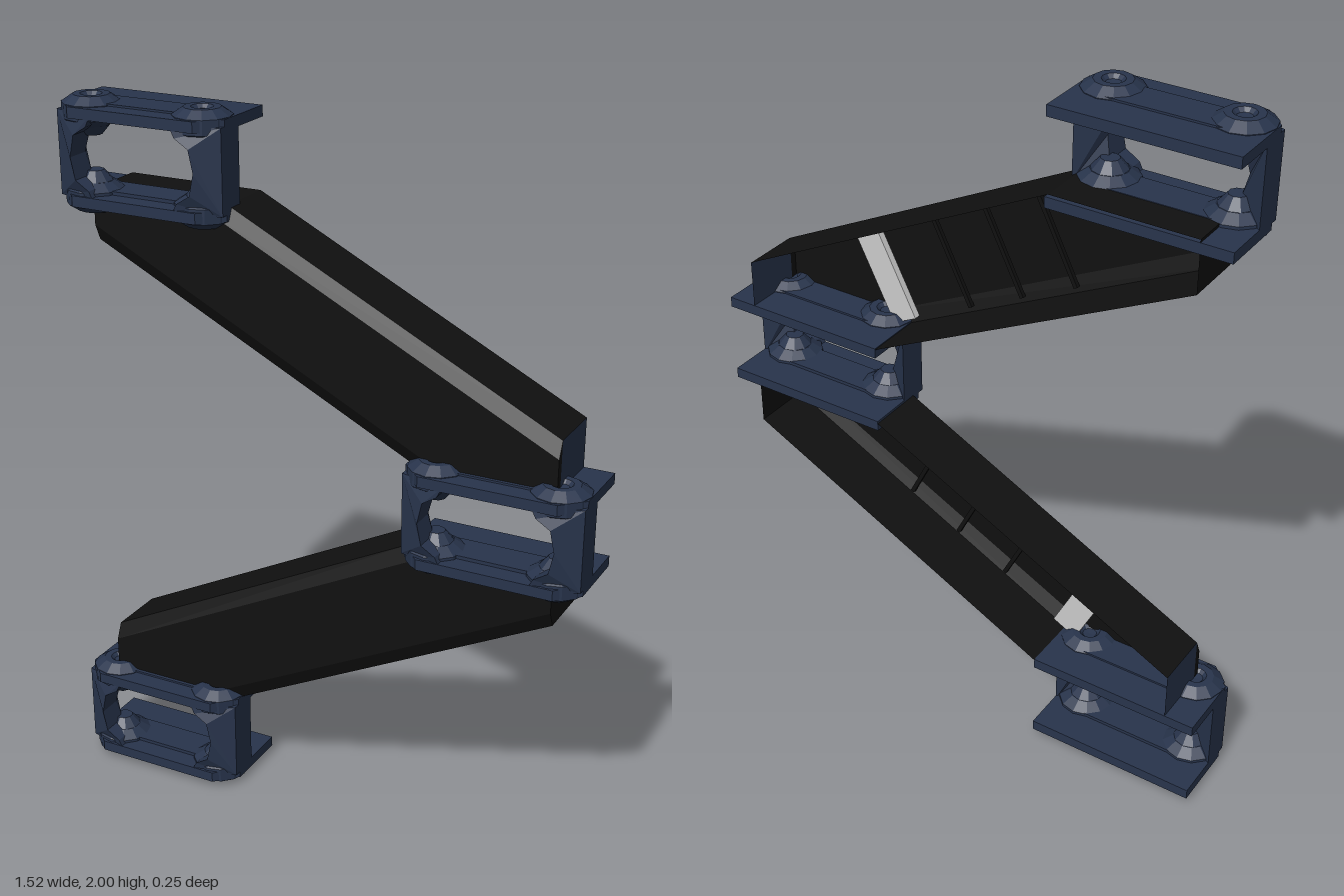
import * as THREE from 'three';

const blue = new THREE.MeshStandardMaterial({ color: 0x28344c, flatShading: true });
const blueThin = new THREE.MeshStandardMaterial({ color: 0x28344c, flatShading: true, side: THREE.DoubleSide });
const black = new THREE.MeshStandardMaterial({ color: 0x101010, flatShading: true, side: THREE.DoubleSide });
const grey = new THREE.MeshStandardMaterial({ color: 0xcccccc, flatShading: true });

function add(parent, name, geometry, material, x = 0, y = 0, z = 0) {
  const mesh = new THREE.Mesh(geometry, material);
  mesh.name = name;
  mesh.position.set(x, y, z);
  parent.add(mesh);
  return mesh;
}

const toShape = (pts) => new THREE.Shape(pts.map(([x, y]) => new THREE.Vector2(x, y)));

// Horizontal slab from an outline in (x, z), centred on y = 0
function slab(pts, height) {
  const g = new THREE.ExtrudeGeometry(toShape(pts.map(([x, z]) => [x, -z])), { depth: height, bevelEnabled: false });
  return g.rotateX(-Math.PI / 2).translate(0, -height / 2, 0);
}

// Chamfered round hub with a dimple on top and bottom
function hubGeometry() {
  const half = [[0.0, 0.028], [0.02, 0.03], [0.03, 0.04], [0.05, 0.04], [0.08, 0.02]];
  const profile = [...half.map(([r, y]) => [r, -y]), ...half.slice().reverse()];
  return new THREE.LatheGeometry(profile.map(([r, y]) => new THREE.Vector2(r, y)), 12);
}

// Post that flares toward the plates, on the inner side and on the back
function postGeometry(side) {
  const pts = [[0.25, -0.115], [0.25, 0.115], [0.12, 0.115], [0.135, 0.085], [0.175, 0.06],
    [0.188, 0], [0.175, -0.06], [0.135, -0.085], [0.12, -0.115]];
  const g = new THREE.ExtrudeGeometry(toShape(pts.map(([x, y]) => [x * side, y])), { depth: 0.07, bevelEnabled: false });
  const p = g.attributes.position;
  for (let i = 0; i < p.count; i++) {
    const back = p.getZ(i) < 0.01;
    const flare = Math.max(0, Math.abs(p.getY(i)) - 0.05);
    const outer = Math.abs(p.getX(i)) > 0.24;
    p.setZ(i, back ? 0.055 - flare * 0.9 : outer ? 0.085 : 0.125);
  }
  g.computeVertexNormals();
  return g;
}

// Hinge bracket: two plates with hubs, joined by two posts
function bracket(name, x, y) {
  const group = new THREE.Group();
  group.name = name;
  group.position.set(x, y, 0);
  const outline = [[-0.25, -0.13], [0.25, -0.13], [0.25, 0.065], [0.19, 0.125], [-0.19, 0.125], [-0.25, 0.065]];
  for (const s of [1, -1]) {
    add(group, 'plate', slab(outline, 0.03), blue, 0, s * 0.118, 0);
    add(group, 'plateRidge', new THREE.BoxGeometry(0.34, 0.045, 0.1), blue, 0, s * 0.116, 0.02);
    for (const side of [1, -1]) {
      add(group, 'hub', hubGeometry(), blue, side * 0.17, s * 0.115, 0.04);
      // tapered collar on the inner face of the plate
      const collar = new THREE.CylinderGeometry(s > 0 ? 0.055 : 0.025, s > 0 ? 0.025 : 0.055, 0.035, 10);
      add(group, 'hubCollar', collar, blue, side * 0.17, s * 0.065, 0.04);
    }
  }
  for (const side of [1, -1]) add(group, 'post', postGeometry(side), blue);
  return group;
}

// Quads between two rings of points, for the chosen edges
function ringBand(a, b, edges) {
  const pos = [];
  for (const i of edges) {
    const j = (i + 1) % a.length;
    pos.push(...a[i], ...a[j], ...b[j], ...a[i], ...b[j], ...b[i]);
  }
  const g = new THREE.BufferGeometry();
  g.setAttribute('position', new THREE.Float32BufferAttribute(pos, 3));
  g.computeVertexNormals();
  return g;
}

// Channel beam, open at the back; flip = -1 leans it the other way
function beam(name, y, flip) {
  const group = new THREE.Group();
  group.name = name;
  group.position.y = y;
  const outline = (half) => {
    const all = [...half, ...half.map(([px, py]) => [-px, -py])].map(([px, py]) => [px, py * flip]);
    return flip > 0 ? all : all.reverse();
  };
  const outer = outline([[-0.675, -0.31], [-0.27, -0.31], [0.675, 0.165]]);
  const inner = outline([[-0.675, -0.31], [-0.36, -0.31], [0.675, 0.21]]);
  const at = (pts, z) => pts.map(([px, py]) => [px, py, z]);
  const isCap = (i) => [i, (i + 1) % 6].every((k) => outer[k][0] * flip < -0.6);
  const edges = [0, 1, 2, 3, 4, 5];
  const back = at(outer, -0.13), rim = at(outer, 0.04), front = at(inner, 0.06);
  add(group, 'sideWalls', ringBand(back, rim, edges.filter((i) => !isCap(i))), black);
  add(group, 'endCap', ringBand(back, rim, edges.filter(isCap)), blueThin);
  add(group, 'frontBevel', ringBand(rim, front, edges), black);
  add(group, 'frontPanel', new THREE.ShapeGeometry(toShape(inner)), black, 0, 0, 0.06);

  // Strap and thin ribs across the inside of the channel
  const slope = 0.475 / 0.945, angle = Math.atan(slope) * flip;
  const across = (partName, px, w, len, t, material) => {
    const m = add(group, partName, new THREE.BoxGeometry(w, len, t), material, px, px * slope * flip, 0.04 - t / 2);
    m.rotation.z = angle;
  };
  across('strap', -0.33 * flip, 0.08, 0.28, 0.02, grey);
  for (const px of [-0.12, 0.04, 0.2]) across('rib', px * flip, 0.012, 0.28, 0.012, black);
  return group;
}

export function createModel() {
  const model = new THREE.Group();
  model.name = 'foldingArm';
  model.add(bracket('lowerBracket', -0.51, 0.155));
  model.add(bracket('middleBracket', 0.51, 1.005));
  model.add(bracket('upperBracket', -0.51, 1.845));
  model.add(beam('lowerBeam', 0.59, 1));
  model.add(beam('upperBeam', 1.44, -1));
  return model;
}
